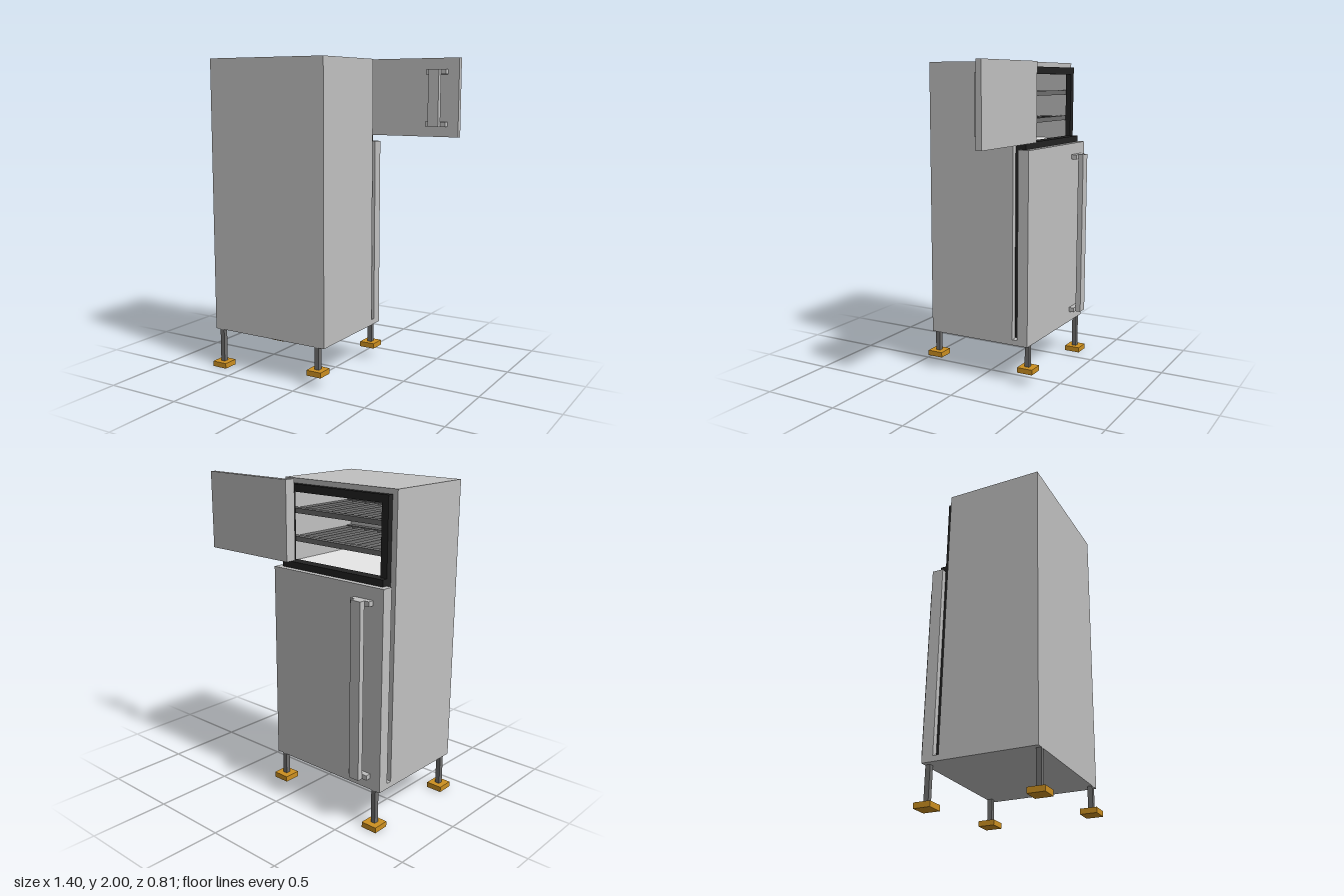
import * as THREE from 'three';

const mat = (name, color) => {
  const m = new THREE.MeshStandardMaterial({ color });
  m.name = name;
  return m;
};

export function createModel() {
  const steel = mat('brushed steel', 0xc0c0c0);
  const rubber = mat('black rubber', 0x222222);
  const darkMetal = mat('dark metal', 0x6e6e6e);
  const amber = mat('amber foot', 0xcc8f20);
  const white = mat('white liner', 0xf0f0f0);

  const model = new THREE.Group();
  model.name = 'refrigerator';

  // Box given by its extents on each axis
  const box = (parent, name, material, [x0, x1], [y0, y1], [z0, z1]) => {
    const mesh = new THREE.Mesh(new THREE.BoxGeometry(x1 - x0, y1 - y0, z1 - z0), material);
    mesh.position.set((x0 + x1) / 2, (y0 + y1) / 2, (z0 + z1) / 2);
    mesh.name = name;
    parent.add(mesh);
    return mesh;
  };
  const group = (name) => {
    const g = new THREE.Group();
    g.name = name;
    model.add(g);
    return g;
  };

  // Cabinet shell, open towards the doors
  const cabinet = group('cabinet');
  const t = 0.035;
  const L = -0.7, R = 0.14, bottom = 0.25, top = 2, back = -0.23, front = 0.365;
  box(cabinet, 'frontPanel', steel, [L, R], [bottom, top], [front - t, front]);
  box(cabinet, 'rightPanel', steel, [L, L + t], [bottom, top], [back, front - t]);
  box(cabinet, 'leftPanel', steel, [R - t, R], [bottom, top], [back, front - t]);
  box(cabinet, 'topPanel', steel, [L + t, R - t], [top - t, top], [back, front - t]);
  box(cabinet, 'bottomPanel', steel, [L + t, R - t], [bottom, bottom + t], [back, front - t]);
  box(cabinet, 'sill', steel, [L, R], [bottom, bottom + t], [back - t, back]);
  box(cabinet, 'compartmentFloor', white, [L + t, R - t], [1.475, 1.495], [back, front - t]);

  // Rubber seal around both openings
  const seal = group('doorSeal');
  const sz = [back - t, back], sl = L + t, sr = R - t, w = 0.045;
  box(seal, 'sealStileRight', rubber, [sl, sl + w], [0.29, 1.97], sz);
  box(seal, 'sealStileLeft', rubber, [sr - w, sr], [0.29, 1.97], sz);
  box(seal, 'sealTop', rubber, [sl + w, sr - w], [1.925, 1.97], sz);
  box(seal, 'sealBottom', rubber, [sl + w, sr - w], [0.29, 0.335], sz);
  box(seal, 'sealMiddle', rubber, [sl + w, sr - w], [1.47, 1.515], sz);
  box(seal, 'sealLedge', rubber, [sl, sr], [1.475, 1.515], [-0.3, -0.265]);

  // Slatted shelves
  for (const y of [1.62, 1.79]) {
    const shelf = group('shelf');
    const ys = [y, y + 0.03], z0 = -0.215, z1 = 0.325;
    box(shelf, 'shelfBackRail', darkMetal, [sl, sr], ys, [z0, z0 + 0.04]);
    box(shelf, 'shelfFrontRail', darkMetal, [sl, sr], ys, [z1 - 0.04, z1]);
    const count = 8, pitch = (sr - sl - 0.05) / (count - 1);
    for (let i = 0; i < count; i++) {
      const x = sl + i * pitch;
      box(shelf, 'shelfSlat', darkMetal, [x, x + 0.05], [y + 0.005, y + 0.025], [z0 + 0.04, z1 - 0.04]);
    }
  }

  // Handle: a bar on two mounts; dir points away from the door face
  const handle = (parent, x, y0, y1, face, dir) => {
    const span = (a, b) => [face + dir * a, face + dir * b].sort((p, q) => p - q);
    box(parent, 'handleBar', steel, [x - 0.035, x + 0.035], [y0, y1], span(0.035, 0.07));
    for (const y of [y0, y1 - 0.03])
      box(parent, 'handleMount', steel, [x - 0.068, x + 0.068], [y, y + 0.03], span(0, 0.035));
  };

  // Closed lower door
  const lowerDoor = group('lowerDoor');
  box(lowerDoor, 'lowerDoorPanel', steel, [L, R], [bottom, 1.475], [-0.335, -0.265]);
  handle(lowerDoor, -0.56, 0.32, 1.4, -0.335, -1);

  // Upper door, swung fully open
  const upperDoor = group('upperDoor');
  box(upperDoor, 'upperDoorPanel', steel, [0.035, 0.7], [1.515, 2], [-0.335, -0.3]);
  box(upperDoor, 'upperDoorHinge', steel, [0.035, 0.07], [1.515, 2], [-0.3, -0.265]);
  handle(upperDoor, 0.56, 1.58, 1.93, -0.3, 1);

  // Legs with feet; the left pair is shorter
  for (const [x, y] of [[-0.65, 0], [0.087, 0.075]]) {
    for (const z of [0.35, -0.315]) {
      const leg = group('leg');
      const fz = z > 0 ? 0.35 : -0.317;
      box(leg, 'legPost', darkMetal, [x - 0.015, x + 0.015], [y + 0.034, bottom], [z - 0.015, z + 0.015]);
      box(leg, 'foot', amber, [x - 0.052, x + 0.052], [y, y + 0.034], [fz - 0.052, fz + 0.052]);
    }
  }

  return model;
}
